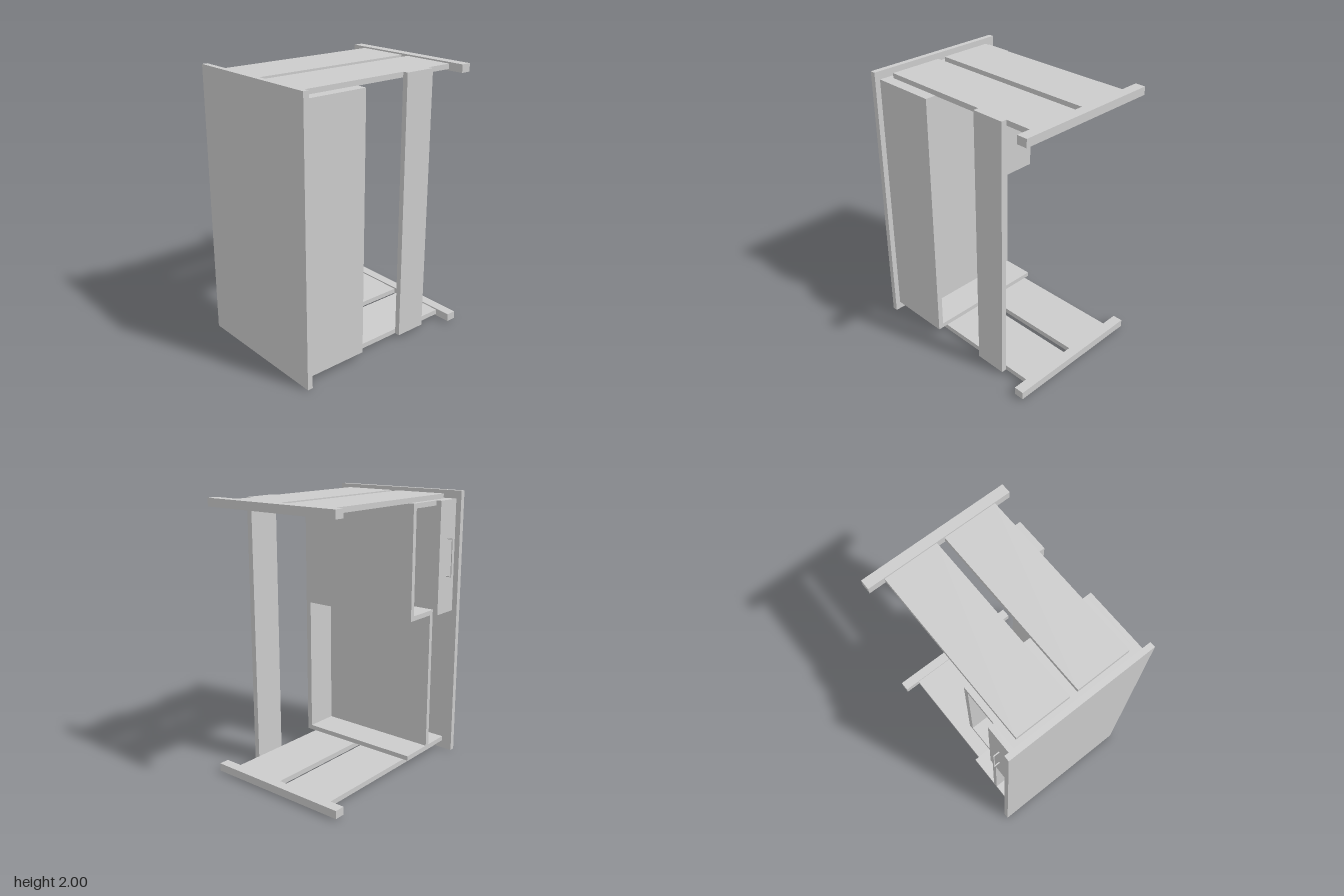
import * as THREE from 'three';

export function createModel() {
  const model = new THREE.Group();
  const material = new THREE.MeshStandardMaterial({ color: 0xcccccc, flatShading: true });

  // Board given by its extents on each axis
  const board = (name, [x0, x1], [y0, y1], [z0, z1], parent = model) => {
    const mesh = new THREE.Mesh(new THREE.BoxGeometry(x1 - x0, y1 - y0, z1 - z0), material);
    mesh.position.set((x0 + x1) / 2, (y0 + y1) / 2, (z0 + z1) / 2);
    mesh.name = name;
    parent.add(mesh);
    return mesh;
  };

  // Desk lying on its back: the top faces forward
  board('tableTop', [-0.55, 0.55], [0, 2], [0.68, 0.72]);

  // Leg frames at both ends: two slabs on a foot bar
  for (const end of [-1, 1]) {
    const frame = new THREE.Group();
    frame.name = end < 0 ? 'lowerLegFrame' : 'upperLegFrame';
    const span = (a, b) => (end < 0 ? [a, b] : [2 - b, 2 - a]);
    for (const side of [-1, 1]) {
      const x = side < 0 ? [-0.43, -0.03] : [0.03, 0.43];
      board('legSlab', x, span(0.023, 0.06), [-0.645, 0.637], frame);
    }
    board('footBar', [-0.55, 0.55], span(0.012, 0.07), [-0.72, -0.645], frame);
    model.add(frame);
  }

  // Stretcher joining the leg frames
  board('stretcher', [0.43, 0.47], [0.023, 1.977], [-0.44, -0.2]);

  // Cabinet carcass under the top
  const cabinet = new THREE.Group();
  cabinet.name = 'cabinet';
  model.add(cabinet);
  const depth = [-0.47, 0.47];
  board('cabinetBack', [0.47, 0.51], [0.06, 1.942], [0.2, 0.68], cabinet);
  board('cabinetEndLower', depth, [0.06, 0.095], [0.2, 0.68], cabinet);
  board('cabinetEndUpper', depth, [1.907, 1.942], [0.2, 0.68], cabinet);
  board('cabinetDivider', depth, [1.12, 1.155], [0.2, 0.68], cabinet);
  board('cabinetFloor', depth, [1.155, 1.907], [0.2, 0.235], cabinet);
  board('openShelf', depth, [0.095, 1.12], [0.445, 0.48], cabinet);

  // Drawer with its bar handle
  const drawer = new THREE.Group();
  drawer.name = 'drawer';
  model.add(drawer);
  board('drawerFront', [-0.51, -0.47], [1.12, 1.942], [0.48, 0.68], drawer);
  board('drawerBottom', depth, [1.155, 1.907], [0.485, 0.505], drawer);
  board('handleBar', [-0.555, -0.548], [1.39, 1.67], [0.576, 0.583], drawer);
  for (const y of [1.39, 1.663]) {
    board('handlePost', [-0.548, -0.51], [y, y + 0.007], [0.576, 0.583], drawer);
  }

  return model;
}
